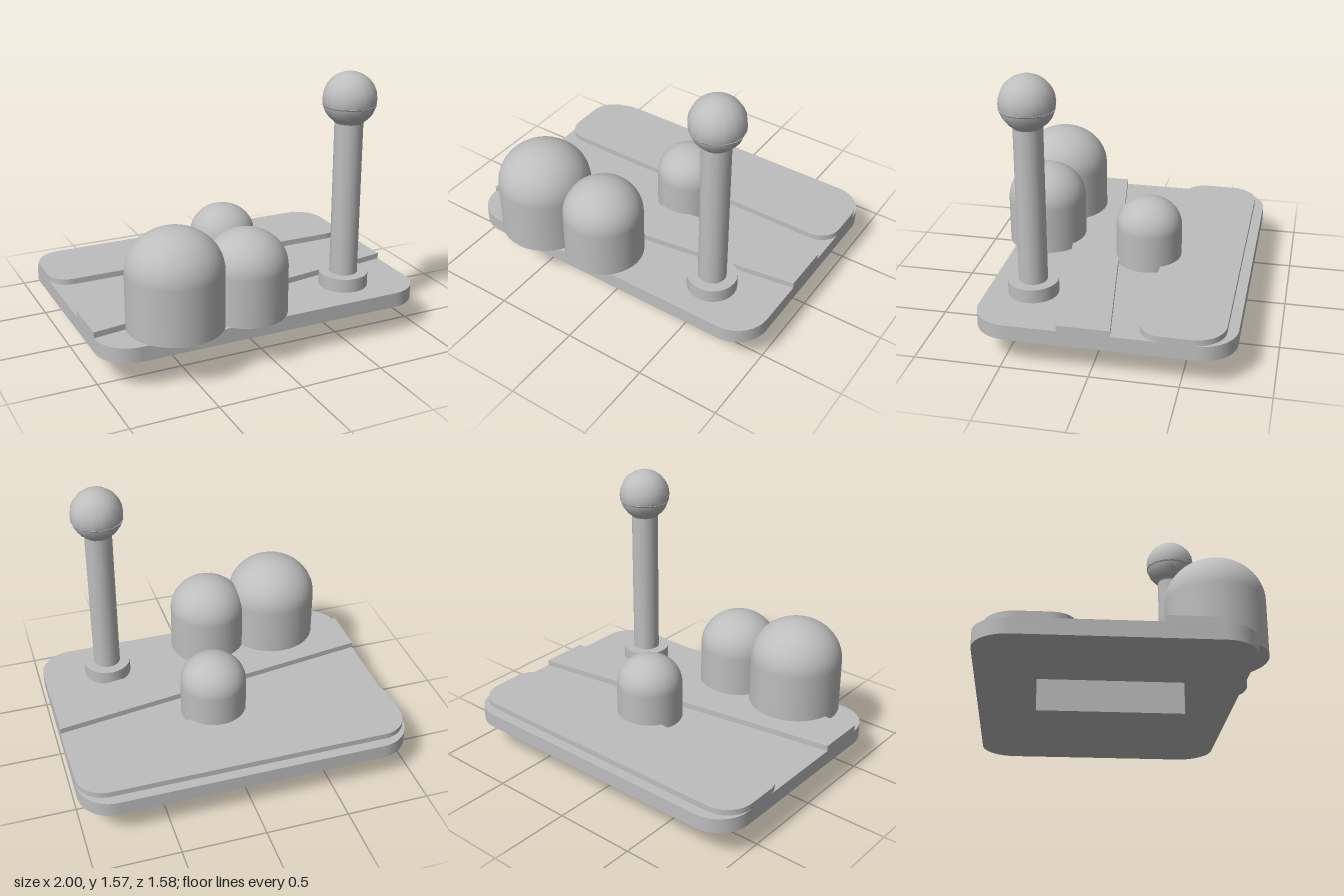
import * as THREE from 'three';
import { toCreasedNormals } from 'three/addons/utils/BufferGeometryUtils.js';

const grey = new THREE.MeshStandardMaterial({ color: 0xbebebe });
grey.name = 'light grey';

const DECK = 0.267; // top of the main plate
const RAISED = 0.302; // top of the raised areas

function add(parent, name, geometry, x = 0, y = 0, z = 0) {
  const mesh = new THREE.Mesh(geometry, grey);
  mesh.name = name;
  mesh.position.set(x, y, z);
  parent.add(mesh);
  return mesh;
}

// Flat slab from a plan outline (shape y becomes z)
function slab(shape, bottom, top) {
  const g = new THREE.ExtrudeGeometry(shape, { depth: top - bottom, bevelEnabled: false, curveSegments: 10 });
  g.rotateX(Math.PI / 2).translate(0, top, 0);
  return toCreasedNormals(g, 0.6);
}

// Rectangle with separate back and front corner radii
function roundedPlan(w, back, front, rb, rf) {
  const s = new THREE.Shape();
  s.absarc(w - rb, back + rb, rb, -Math.PI / 2, 0);
  s.absarc(w - rf, front - rf, rf, 0, Math.PI / 2);
  s.absarc(-w + rf, front - rf, rf, Math.PI / 2, Math.PI);
  s.absarc(-w + rb, back + rb, rb, Math.PI, Math.PI * 1.5);
  s.closePath();
  return s;
}

// Upright cylinder capped with a slightly flattened hemisphere
function addDome(parent, name, x, z, r, top) {
  const dome = new THREE.Group();
  dome.name = name;
  dome.position.set(x, 0, z);
  const spring = top - r * 0.9;
  add(dome, 'domeWall', new THREE.CylinderGeometry(r, r, spring - DECK, 40), 0, (spring + DECK) / 2, 0);
  const cap = new THREE.SphereGeometry(r, 40, 14, 0, Math.PI * 2, 0, Math.PI / 2);
  add(dome, 'domeCap', cap.scale(1, 0.9, 1), 0, spring, 0);
  parent.add(dome);
}

export function createModel() {
  const model = new THREE.Group();
  model.name = 'plateWithDomesAndPost';

  // Foot and main plate
  add(model, 'foot', new THREE.BoxGeometry(0.8, 0.178, 0.8), 0, 0.089, -0.055);
  add(model, 'plate', slab(roundedPlan(1, -0.79, 0.675, 0.2, 0.2), 0.178, DECK));

  // Raised rear panel and slanted band
  add(model, 'rearPanel', slab(roundedPlan(1, -0.73, -0.262, 0.17, 0.13), DECK, RAISED));
  const band = new THREE.Shape([[-1, 0.175], [1, -0.122], [1, 0.175], [-1, 0.472]]
    .map(([x, z]) => new THREE.Vector2(x, z)));
  add(model, 'slantedBand', slab(band, DECK, RAISED));

  // Domes
  addDome(model, 'largeDome', -0.537, 0.508, 0.278, 0.842);
  addDome(model, 'mediumDome', -0.102, 0.508, 0.238, 0.765);
  addDome(model, 'smallDome', 0.063, -0.165, 0.198, 0.668);

  // Post with collar, flared neck and ball
  const post = new THREE.Group();
  post.name = 'post';
  post.position.set(0.597, 0, 0.41);
  add(post, 'collar', new THREE.CylinderGeometry(0.146, 0.146, 0.083, 24), 0, 0.3085, 0);
  add(post, 'shaft', new THREE.CylinderGeometry(0.083, 0.083, 0.93, 20), 0, 0.81, 0);
  add(post, 'neck', new THREE.CylinderGeometry(0.158, 0.083, 0.107, 16), 0, 1.3255, 0);
  add(post, 'ball', new THREE.SphereGeometry(0.158, 16, 12), 0, 1.411, 0);
  model.add(post);

  return model;
}
